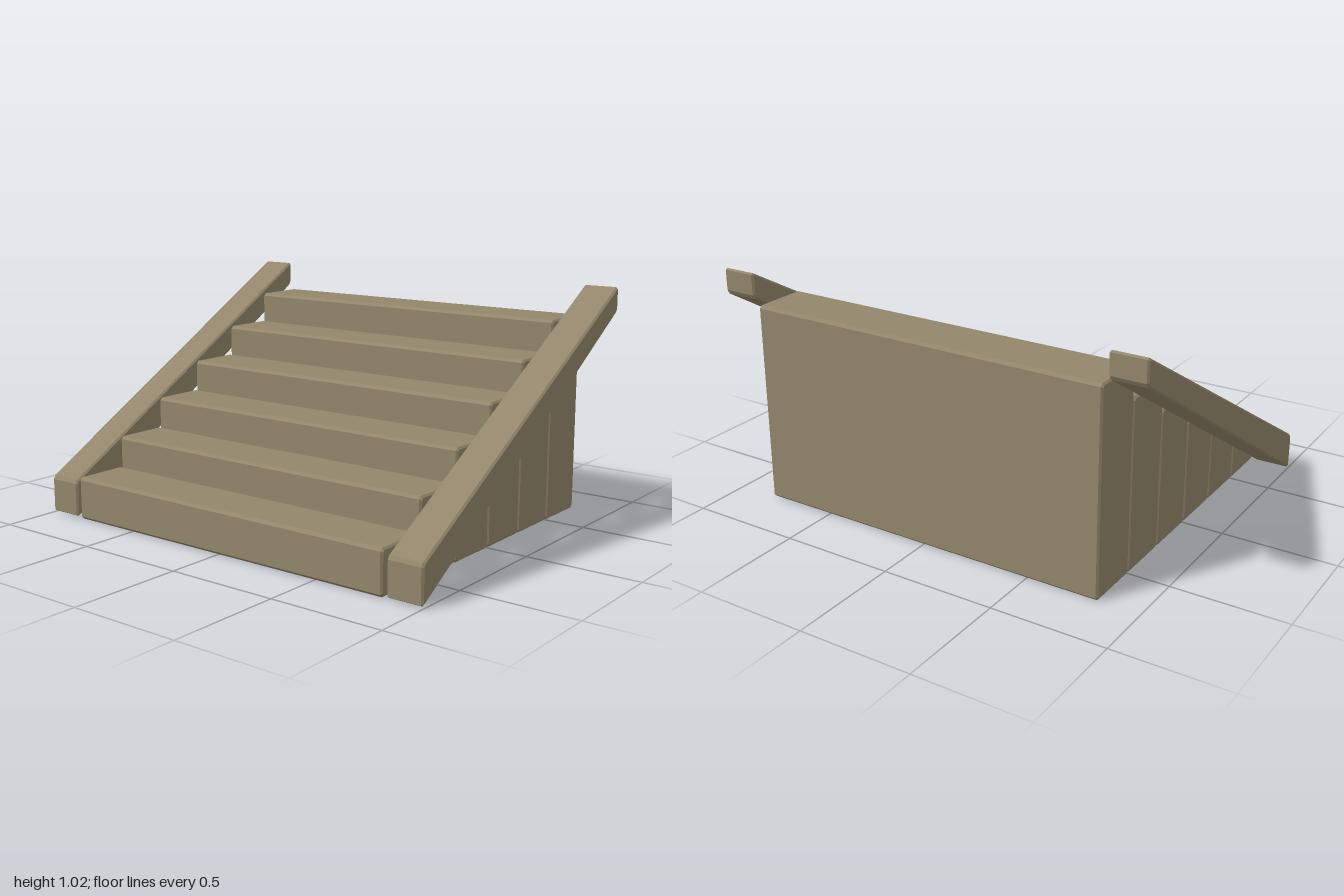
import * as THREE from 'three';

const material = new THREE.MeshStandardMaterial({ color: 0x93866b, flatShading: true });
const CUT = 0.012, BEVEL = 0.008;

// Solid with chamfered edges: a [z, y] profile swept across x and centred on x = 0.
function chamferedPrism(name, profile, width) {
  const corners = profile.map(p => new THREE.Vector2(...p));
  const n = corners.length;
  const points = corners.flatMap((p, i) =>
    [corners[(i + n - 1) % n], corners[(i + 1) % n]].map(q =>
      p.clone().add(q.clone().sub(p).setLength(CUT))));
  const depth = width - 2 * BEVEL;
  const geometry = new THREE.ExtrudeGeometry(new THREE.Shape(points), {
    depth, bevelEnabled: true, bevelSegments: 1,
    bevelSize: BEVEL, bevelThickness: BEVEL, bevelOffset: -BEVEL,
  });
  geometry.translate(0, 0, -depth / 2).rotateY(-Math.PI / 2);
  const mesh = new THREE.Mesh(geometry, material);
  mesh.name = name;
  return mesh;
}

export function createModel() {
  const group = new THREE.Group();
  group.name = 'staircase';

  // Solid steps, each reaching down to the ground
  const count = 6, tread = 0.25, rise = 0.14;
  for (let i = 0; i < count; i++) {
    const front = 0.75 - i * tread, back = front - tread, top = 0.19 + i * rise;
    group.add(chamferedPrism(`step${i + 1}`,
      [[back, 0], [front, 0], [front, top], [back, top]], 1.64));
  }

  // Sloping side rails with upright ends
  for (const [side, sign] of [['left', 1], ['right', -1]]) {
    const rail = chamferedPrism(`${side}Rail`,
      [[0.75, 0], [0.75, 0.167], [-0.75, 1.03], [-0.75, 0.917]].reverse(), 0.16);
    rail.position.x = sign * 0.92;
    group.add(rail);
  }
  return group;
}
